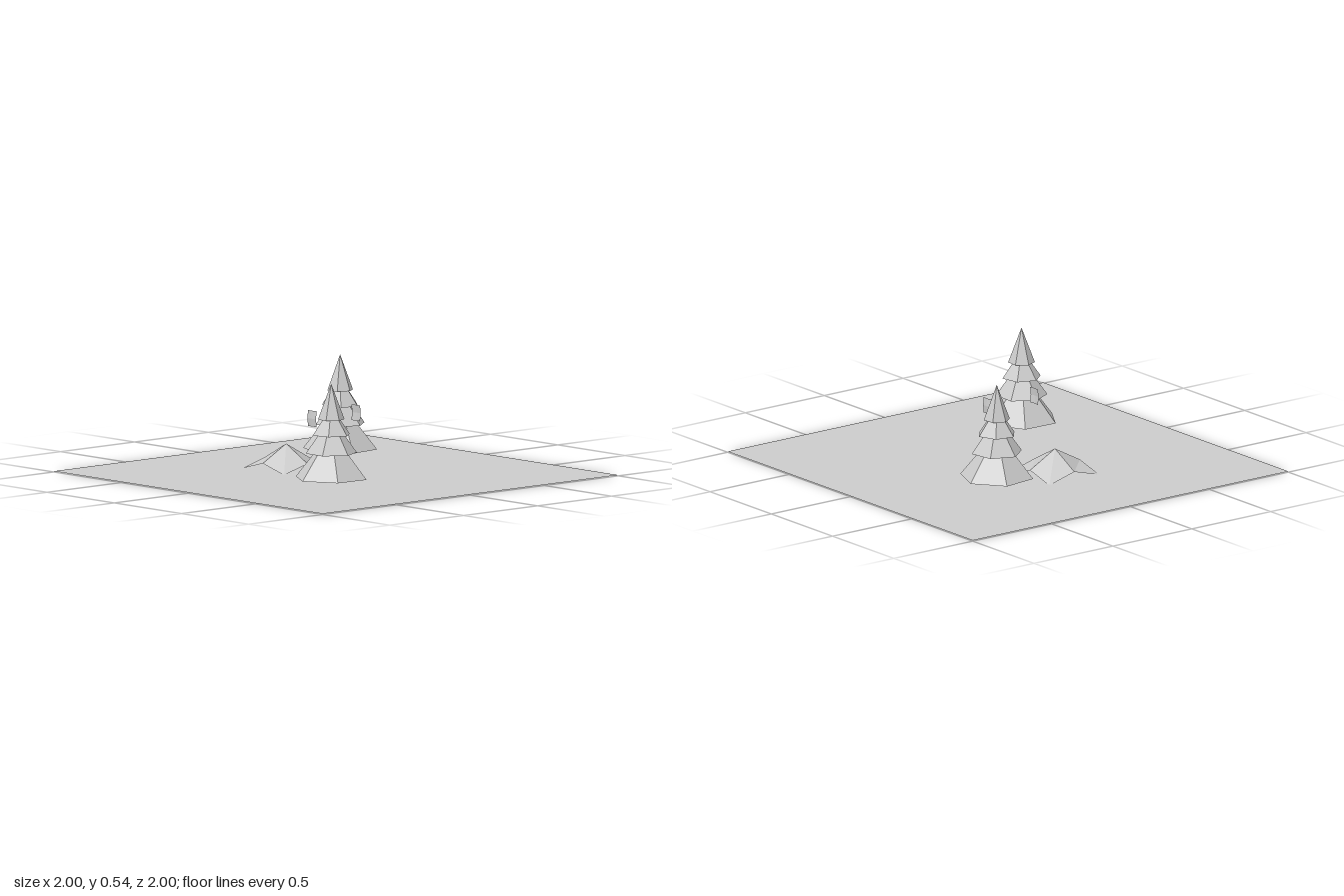
import * as THREE from 'three';

const solid = new THREE.MeshStandardMaterial({ color: 0xcccccc, flatShading: true });
const sheet = new THREE.MeshStandardMaterial({ color: 0xcccccc, flatShading: true, side: THREE.DoubleSide });

// Two-by-two patch lying flat: low corners, raised edge middles, peaked centre
function peakedPatch(name, width, depth, edgeHeight, peakHeight) {
  const geometry = new THREE.PlaneGeometry(width, depth, 2, 2).rotateX(-Math.PI / 2);
  const pos = geometry.attributes.position;
  for (let i = 0; i < pos.count; i++) {
    const onMiddle = (Math.abs(pos.getX(i)) < 1e-4) + (Math.abs(pos.getZ(i)) < 1e-4);
    pos.setY(i, [0, edgeHeight, peakHeight][onMiddle]);
  }
  geometry.computeVertexNormals();
  const mesh = new THREE.Mesh(geometry, sheet);
  mesh.name = name;
  return mesh;
}

// Conifer of stacked six-sided tiers, each turned differently
function makeTree(name, x, z, turn) {
  const tree = new THREE.Group();
  tree.name = name;
  const tiers = [
    // bottom y, top y, bottom radius, top radius, turn in degrees
    [0.063, 0.19, 0.188, 0.087, 0],
    [0.19, 0.283, 0.13, 0.064, 30],
    [0.283, 0.36, 0.1, 0.046, 18],
    [0.36, 0.54, 0.067, 0, 33],
  ];
  tiers.forEach(([y0, y1, r0, r1, angle], i) => {
    const tier = new THREE.Mesh(new THREE.CylinderGeometry(r1, r0, y1 - y0, 6), solid);
    tier.name = `foliageTier${i + 1}`;
    tier.position.y = (y0 + y1) / 2;
    tier.rotation.y = THREE.MathUtils.degToRad(30 - turn - angle);
    tree.add(tier);
  });
  tree.position.set(x, 0, z);
  return tree;
}

export function createModel() {
  const model = new THREE.Group();
  model.name = 'snowyClearing';

  // Flat square ground
  const ground = new THREE.Mesh(new THREE.PlaneGeometry(2, 2).rotateX(-Math.PI / 2), sheet);
  ground.name = 'ground';
  ground.position.y = 0.006;
  model.add(ground);

  // Low mound whose corners dip into the ground
  const mound = peakedPatch('mound', 0.316, 0.316, 0.043, 0.128);
  mound.position.set(-0.067, 0.002, -0.297);
  model.add(mound);

  // Two trees
  model.add(makeTree('frontTree', -0.396, 0.4, 2));
  model.add(makeTree('backTree', 0.326, -0.328, -8));

  // Pair of small upright panels bulging outwards
  for (const side of [-1, 1]) {
    const panel = peakedPatch(side > 0 ? 'leftPanel' : 'rightPanel', 0.08, 0.064, 0.004, 0.008);
    panel.rotation.z = -side * Math.PI / 2;
    panel.position.set(-0.046 + side * 0.147, 0.305, 0.036);
    model.add(panel);
  }
  return model;
}
